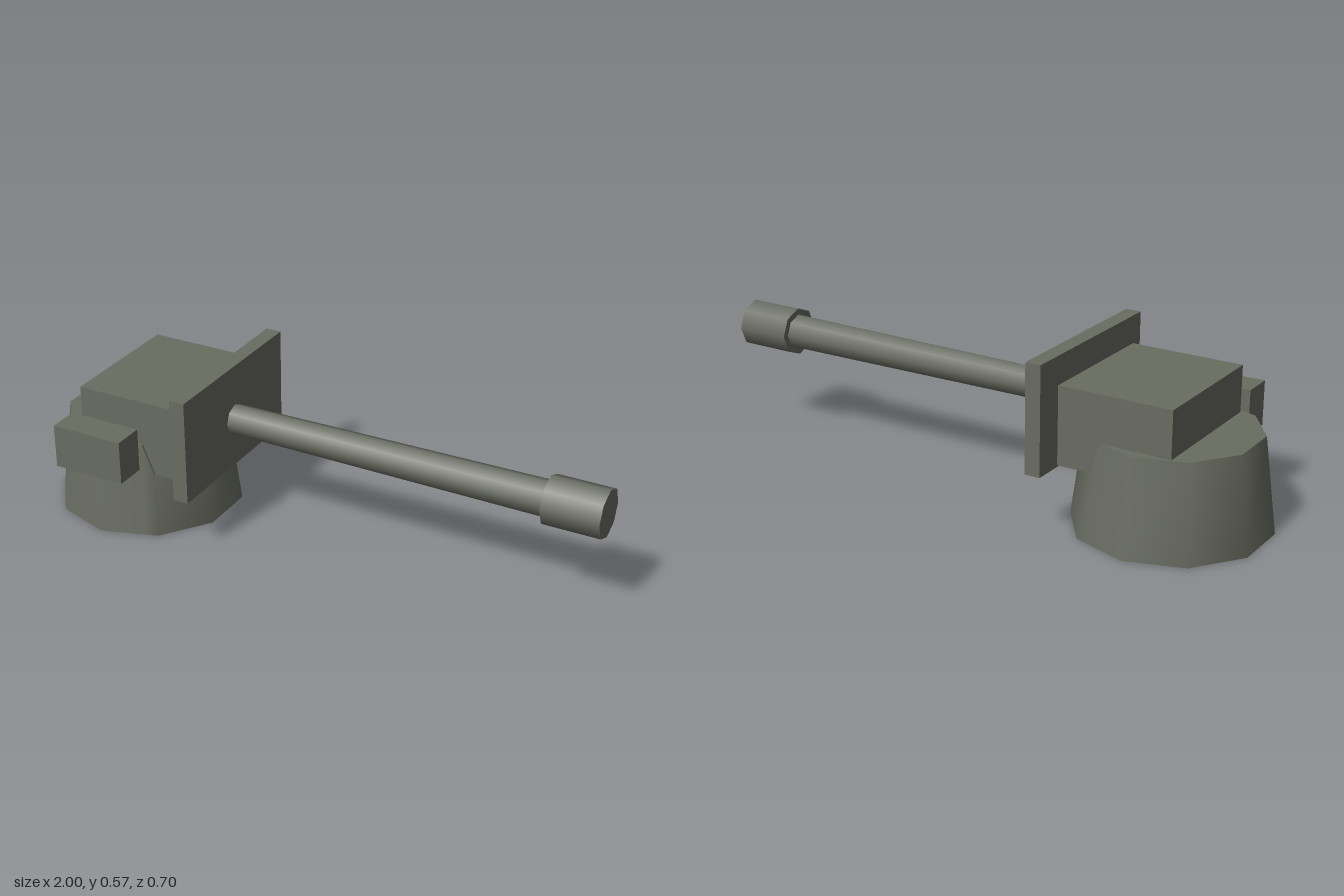
import * as THREE from 'three';

const CZ = -0.021; // common centre line of base, shield and barrel

export function createModel() {
  const group = new THREE.Group();
  group.name = 'gunTurret';
  const metal = new THREE.MeshStandardMaterial({ color: 0x696c61 });
  metal.name = 'grey green metal';

  const add = (name, geometry) => {
    const mesh = new THREE.Mesh(geometry, metal);
    mesh.name = name;
    group.add(mesh);
    return mesh;
  };
  const box = (name, x0, x1, y0, y1, z0, z1) =>
    add(name, new THREE.BoxGeometry(x1 - x0, y1 - y0, z1 - z0))
      .position.set((x0 + x1) / 2, (y0 + y1) / 2, (z0 + z1) / 2);
  // Eight-sided tube lying along x
  const rod = (name, x0, x1, r0, r1) => {
    const g = new THREE.CylinderGeometry(r1, r0, x1 - x0, 8);
    g.rotateZ(-Math.PI / 2);
    add(name, g).position.set((x0 + x1) / 2, 0.371, CZ);
  };

  // Ten-sided tapered base, with its top stepped down towards the barrel
  const rBottom = 0.328, rTop = 0.285, high = 0.325, low = 0.22;
  const unit = (deg) => [Math.sin(deg * Math.PI / 180), Math.cos(deg * Math.PI / 180)];
  const a = unit(0), b = unit(36), t = 0.78;
  const step = [a[0] + (b[0] - a[0]) * t, a[1] + (b[1] - a[1]) * t];
  // Front half of the outline from -x to +x, with the height of the rim
  const half = [
    [...unit(-72), high], [...unit(-36), high], [...a, high],
    [...step, high], [...b, low], [...unit(72), low],
  ];
  const outline = [...half, ...half.slice().reverse().filter((p) => true).map(([x, z, h]) => [x, -z, h])];
  const bottomPoint = ([x, z]) => [x * rBottom, 0, z * rBottom];
  const topPoint = ([x, z, h]) => {
    const r = rBottom + (rTop - rBottom) * h / high;
    return [x * r, h, z * r];
  };
  const build = (points, index) => {
    const g = new THREE.BufferGeometry();
    g.setAttribute('position', new THREE.Float32BufferAttribute(points.flat(), 3));
    g.setIndex(index);
    return g;
  };

  // Smooth side wall
  const n = outline.length;
  const wallIndex = [];
  for (let i = 0; i < n; i++) {
    const j = (i + 1) % n;
    wallIndex.push(i, j, n + j, i, n + j, n + i);
  }
  const wall = build([...outline.map(bottomPoint), ...outline.map(topPoint)], wallIndex);
  wall.computeVertexNormals();
  add('baseWall', wall).position.set(-0.69, 0, CZ);

  // Flat strips running across z close the top and the bottom
  const cap = (name, place, up) => {
    const points = half.flatMap(([x, z, h]) => [place([x, z, h]), place([x, -z, h])]);
    const index = [];
    for (let i = 0; i < half.length - 1; i++) {
      const k = i * 2;
      if (up) index.push(k, k + 2, k + 3, k, k + 3, k + 1);
      else index.push(k, k + 3, k + 2, k, k + 1, k + 3);
    }
    const g = build(points, index).toNonIndexed();
    g.computeVertexNormals();
    add(name, g).position.set(-0.69, 0, CZ);
  };
  cap('baseTop', topPoint, true);
  cap('baseBottom', bottomPoint, false);

  // Housing, side box and shield
  box('housing', -0.803, -0.41, 0.22, 0.484, -0.264, 0.213);
  box('sideBox', -0.822, -0.561, 0.24, 0.394, 0.24, 0.349);
  box('shield', -0.391, -0.337, 0.198, 0.567, -0.338, 0.295);

  // Barrel and muzzle
  rod('barrel', -0.42, 0.81, 0.053, 0.062);
  rod('muzzle', 0.804, 1, 0.0845, 0.0845);

  return group;
}
